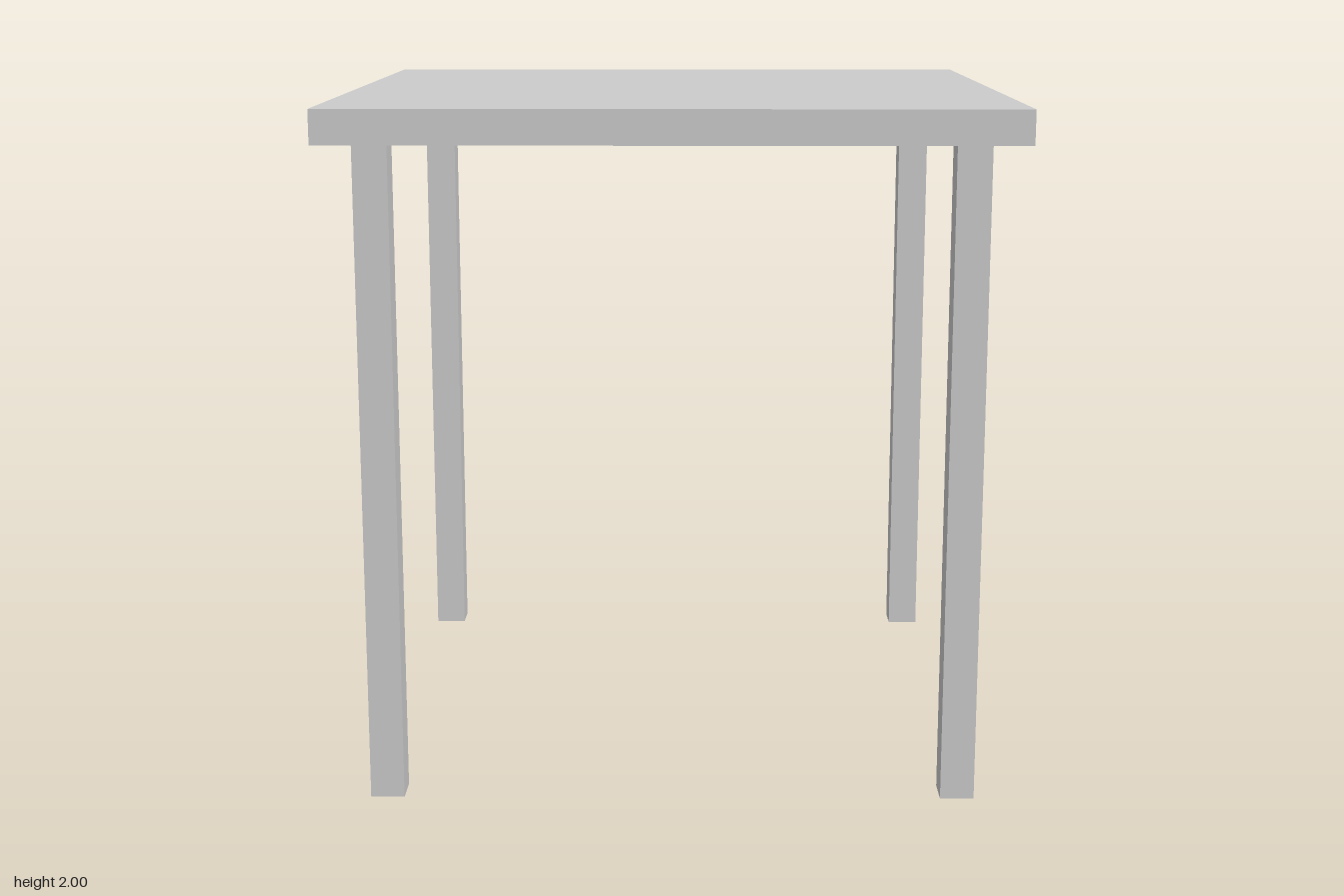
import * as THREE from 'three';

const HEIGHT = 2;
const WIDTH = 1.951; // square table top
const THICK = 0.0976; // top thickness and leg width
const LEG_OFFSET = 0.829; // leg centre from the middle

export function createModel() {
  const table = new THREE.Group();
  table.name = 'table';
  const material = new THREE.MeshStandardMaterial({ color: 0xcccccc });

  const addBox = (name, w, h, d, x, y, z) => {
    const mesh = new THREE.Mesh(new THREE.BoxGeometry(w, h, d), material);
    mesh.name = name;
    mesh.position.set(x, y, z);
    table.add(mesh);
  };

  // Square slab top
  addBox('tableTop', WIDTH, THICK, WIDTH, 0, HEIGHT - THICK / 2, 0);

  // Four square legs, set in from the corners
  const legHeight = HEIGHT - THICK;
  for (const [zName, sz] of [['front', 1], ['back', -1]]) {
    for (const [xName, sx] of [['Left', 1], ['Right', -1]]) {
      addBox(`${zName}${xName}Leg`, THICK, legHeight, THICK,
        sx * LEG_OFFSET, legHeight / 2, sz * LEG_OFFSET);
    }
  }

  return table;
}
